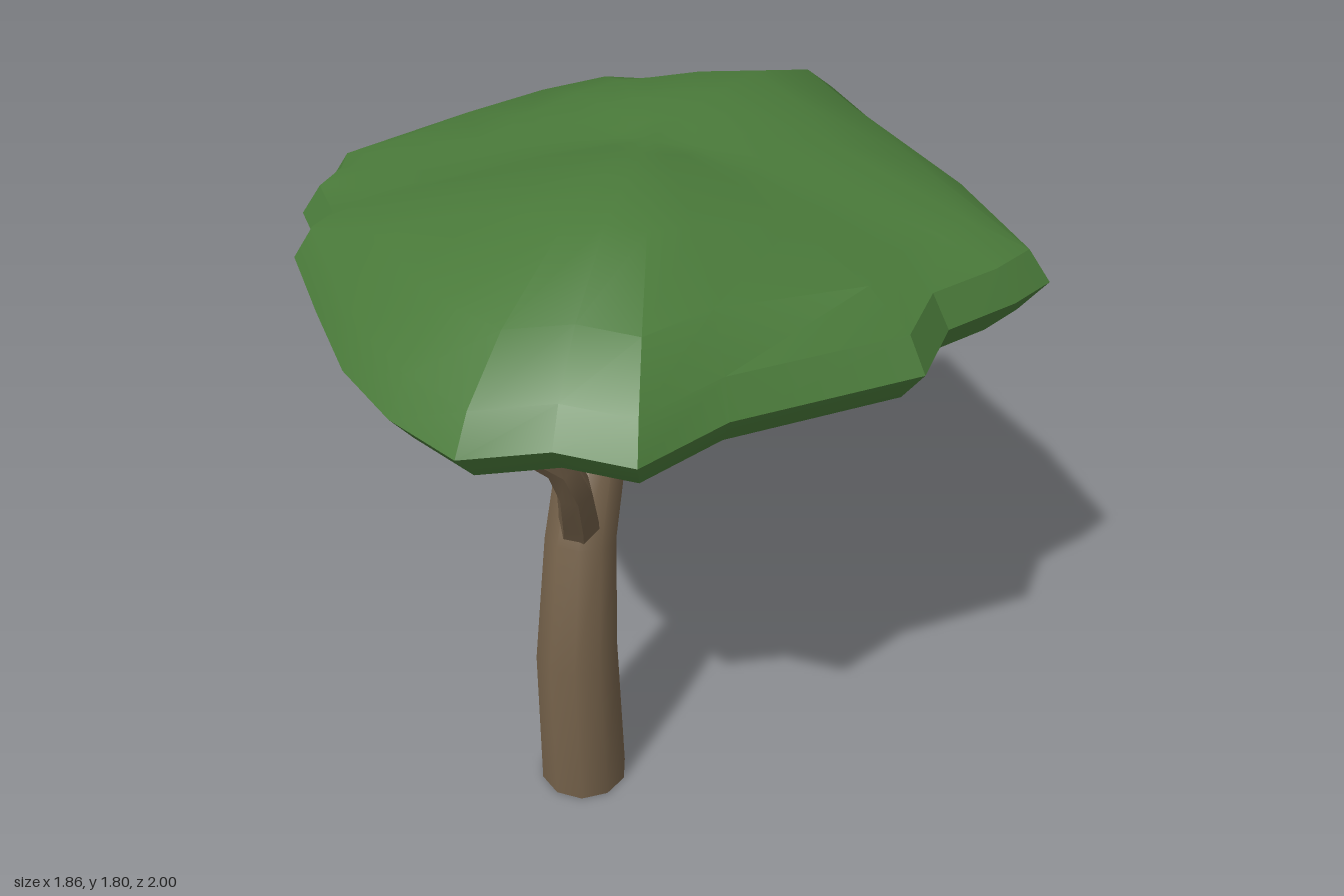
import * as THREE from 'three';
import { toCreasedNormals } from 'three/addons/utils/BufferGeometryUtils.js';

// Skin over a list of rings (each counter-clockwise about the path), closed at both ends.
function loft(rings, crease) {
  const n = rings[0].length, last = rings.length - 1;
  const points = rings.flat(), index = [];
  const centre = ring => ring.reduce((s, p) => s.add(p), new THREE.Vector3()).divideScalar(n);
  const start = points.push(centre(rings[0])) - 1;
  const end = points.push(centre(rings[last])) - 1;
  for (let j = 0; j < n; j++) {
    const k = (j + 1) % n;
    for (let i = 0; i < last; i++) {
      const a = i * n + j, b = i * n + k;
      index.push(a, b, b + n, a, b + n, a + n);
    }
    index.push(start, k, j, end, last * n + j, last * n + k);
  }
  const geometry = new THREE.BufferGeometry().setFromPoints(points);
  geometry.setIndex(index);
  return toCreasedNormals(geometry, crease);
}

// Tapered limb along [x, y, z, radius] stations; the path bends in the yz plane.
function limb(stations, sides, crease) {
  const p = stations.map(s => new THREE.Vector3(s[0], s[1], s[2]));
  const rings = p.map((c, i) => {
    const t = p[Math.min(i + 1, p.length - 1)].clone().sub(p[Math.max(i - 1, 0)]);
    if (i === 0) t.copy(stations[0][1] === 0 ? new THREE.Vector3(0, 1, 0) : t);
    t.normalize();
    const u = new THREE.Vector3(1, 0, 0).addScaledVector(t, -t.x).normalize();
    const v = new THREE.Vector3().crossVectors(t, u);
    return Array.from({ length: sides }, (_, j) => {
      const a = (j / sides) * Math.PI * 2, r = stations[i][3];
      return c.clone().addScaledVector(u, Math.cos(a) * r).addScaledVector(v, Math.sin(a) * r);
    });
  });
  return loft(rings, crease);
}

// Irregular canopy rim as [x, z], seen from above.
const RIM = [
  [0.21, -1], [0.42, -0.74], [0.7, -0.45], [0.93, -0.13], [0.87, 0], [0.75, 0.17], [0.74, 0.38],
  [0.4, 0.69], [0.28, 0.91], [0.1, 0.91], [-0.07, 1], [-0.26, 0.91], [-0.44, 0.77], [-0.62, 0.56],
  [-0.8, 0.34], [-0.79, 0.25], [-0.9, 0.12], [-0.9, 0], [-0.93, -0.09], [-0.79, -0.36],
  [-0.61, -0.59], [-0.44, -0.74], [-0.28, -0.74], [-0.07, -0.85], [0.06, -0.91],
].reverse();

// Canopy rings from underside to crown: [scale of rim, height, extra height toward front and back].
const LAYERS = [
  [0.2, 1.3, 0], [0.45, 1.3, 0], [0.7, 1.33, -0.01], [0.93, 1.41, 0], [1, 1.49, 0],
  [0.94, 1.57, 0], [0.79, 1.65, 0.02], [0.52, 1.72, 0.03], [0.3, 1.75, 0.02], [0.12, 1.76, 0.01],
];

// Soft lumps: [x, z, height, width]
const TOP_LUMPS = [[0.05, 0.36, 0.03, 0.25], [0.12, -0.45, 0.02, 0.3], [-0.45, 0.05, -0.02, 0.2]];
const BOTTOM_LUMPS = [[-0.35, 0.6, -0.05, 0.22], [0.17, 0.62, -0.06, 0.22], [0.1, -0.4, -0.02, 0.3]];

function canopyGeometry() {
  const rings = LAYERS.map(([scale, height, stretch], i) => RIM.map(([x, z]) => {
    // Inner rings lose the rim's notches
    const r = Math.hypot(x, z);
    const s = scale * THREE.MathUtils.lerp(0.88 / r, 1, Math.min(1, scale * scale + 0.3));
    const px = x * s, pz = z * s;
    let y = height + stretch * (z * z - x * x) / (r * r);
    if (scale < 0.9) {
      for (const [lx, lz, h, w] of i > 4 ? TOP_LUMPS : BOTTOM_LUMPS) {
        y += h * Math.exp(-((px - lx) ** 2 + (pz - lz) ** 2) / (w * w));
      }
    }
    return new THREE.Vector3(px, y, pz);
  }));
  return loft(rings, 0.45);
}

export function createModel() {
  const bark = new THREE.MeshStandardMaterial({ color: 0x736049 });
  const leaves = new THREE.MeshStandardMaterial({ color: 0x4a7a3a });
  const tree = new THREE.Group();
  tree.name = 'tree';
  const add = (name, geometry, material) => {
    const mesh = new THREE.Mesh(geometry, material);
    mesh.name = name;
    tree.add(mesh);
  };

  // Trunk curving backward into the main limb
  add('trunk', limb([
    [-0.1, 0, 0.32, 0.118], [-0.105, 0.44, 0.33, 0.11], [-0.105, 0.78, 0.28, 0.095],
    [-0.105, 1.04, 0.16, 0.09], [-0.105, 1.11, 0.06, 0.083], [-0.105, 1.105, -0.07, 0.078],
    [-0.105, 1.13, -0.2, 0.06], [-0.105, 1.2, -0.33, 0.052], [-0.105, 1.29, -0.425, 0.046],
    [-0.105, 1.38, -0.49, 0.04],
  ], 10, 0.7), bark);

  // Smaller angular branch rising forward
  add('frontBranch', limb([
    [-0.1, 0.82, 0.3, 0.055], [-0.08, 0.9, 0.35, 0.052], [-0.035, 1.08, 0.48, 0.045],
    [-0.045, 1.18, 0.53, 0.042], [-0.09, 1.26, 0.6, 0.038], [-0.12, 1.34, 0.66, 0.033],
  ], 6, 0.5), bark);

  // Flat, wide leaf canopy
  add('canopy', canopyGeometry(), leaves);
  return tree;
}
